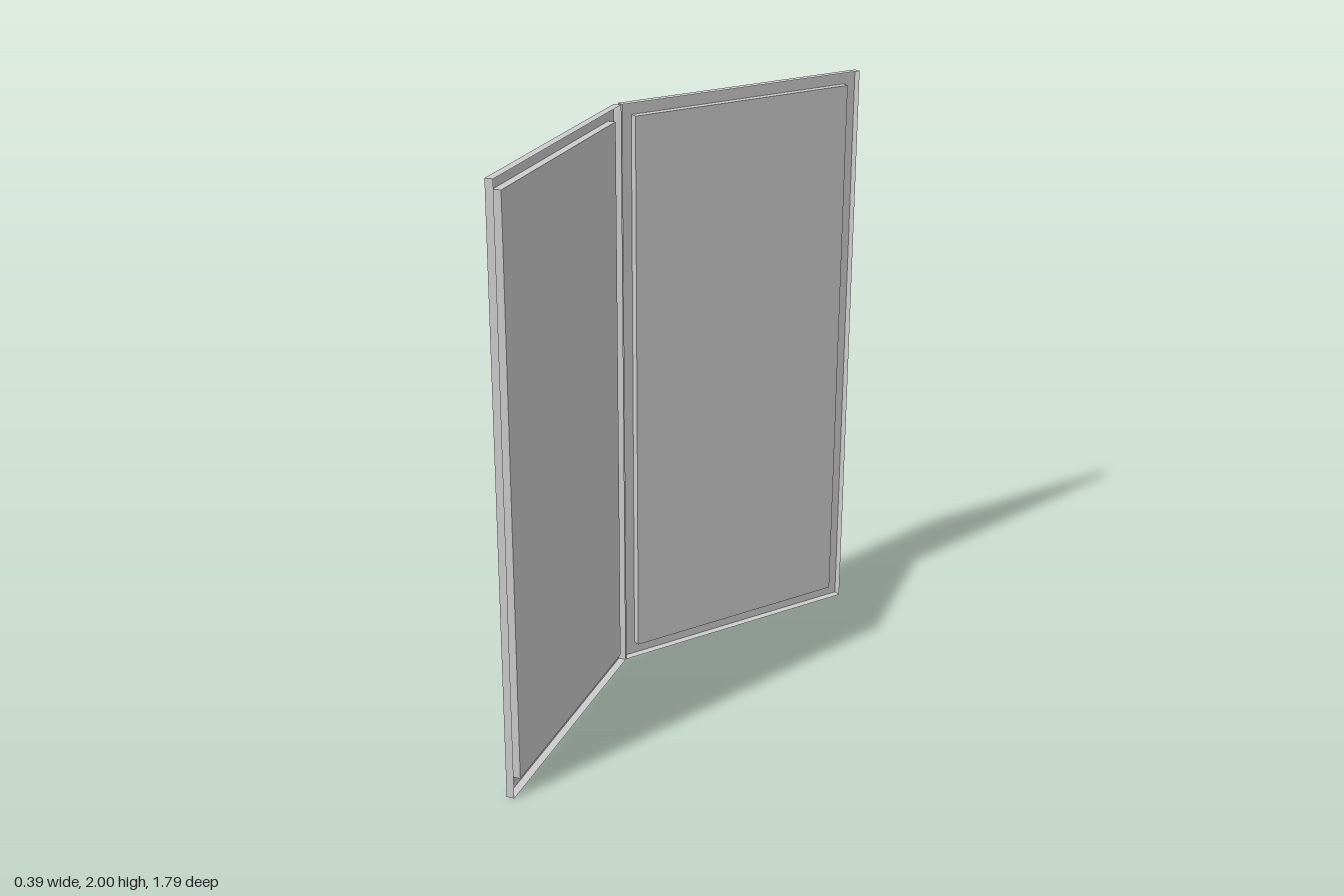
import * as THREE from 'three';

const W = 0.934, H = 2, T = 0.026;   // size of one leaf
const BX = 0.048, BY = 0.044;        // border widths

const material = new THREE.MeshStandardMaterial({ color: 0xcccccc, side: THREE.DoubleSide });

// Four corners of an upright rectangle, inset from the leaf's outline, at depth z
function rect(inset, z) {
  const x = W / 2 - inset * BX, y0 = inset * BY, y1 = H - inset * BY;
  return [[-x, y0, z], [x, y0, z], [x, y1, z], [-x, y1, z]];
}

// Mesh of flat quads, each given by four corners
function quadMesh(name, quads) {
  const points = quads.flatMap(([a, b, c, d]) => [a, b, c, a, c, d]).flat();
  const geometry = new THREE.BufferGeometry();
  geometry.setAttribute('position', new THREE.Float32BufferAttribute(points, 3));
  geometry.computeVertexNormals();
  const mesh = new THREE.Mesh(geometry, material);
  mesh.name = name;
  return mesh;
}

// Band of four quads joining two rectangles
function band(name, a, b) {
  return quadMesh(name, a.map((p, i) => {
    const j = (i + 1) % 4;
    return [p, a[j], b[j], b[i]];
  }));
}

// One leaf pressed from sheet: rim, border on one side, recess whose floor lies on the other
function makeLeaf(name, x, z, degrees) {
  const leaf = new THREE.Group();
  leaf.name = name;
  const outerBack = rect(0, -T / 2), outerFront = rect(0, T / 2);
  const innerFront = rect(1, T / 2), innerBack = rect(1, -T / 2);
  leaf.add(
    band('outerRim', outerBack, outerFront),
    band('border', outerFront, innerFront),
    band('recessWalls', innerFront, innerBack),
    quadMesh('panel', [innerBack])
  );
  leaf.position.set(x, 0, z);
  leaf.rotation.y = THREE.MathUtils.degToRad(degrees);
  return leaf;
}

export function createModel() {
  const model = new THREE.Group();
  model.name = 'foldingScreen';
  model.add(
    makeLeaf('frontLeaf', -0.065, 0.438, -75.4),
    makeLeaf('backLeaf', 0, -0.458, -112.9)
  );
  return model;
}
